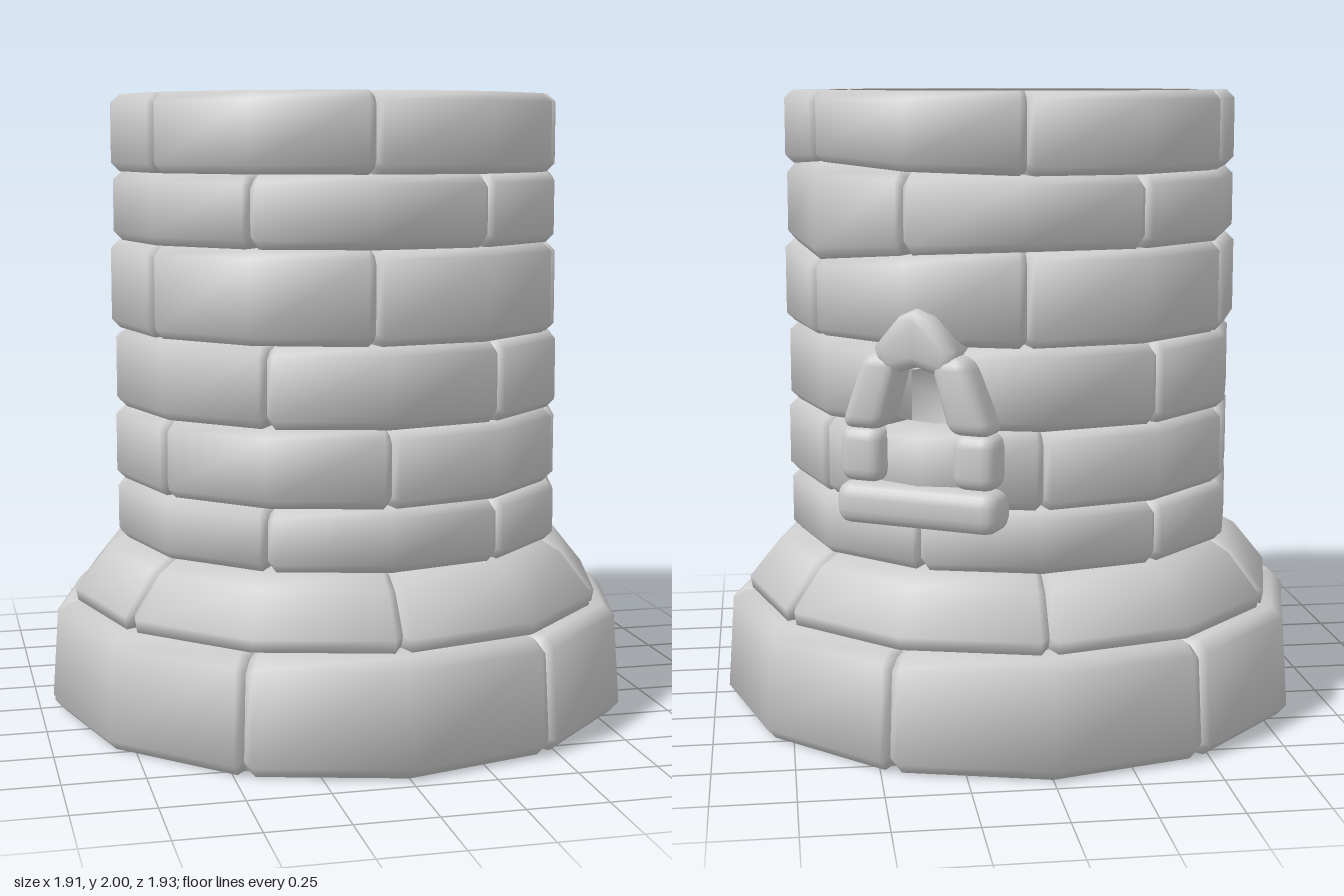
import * as THREE from 'three';
import { mergeVertices } from 'three/addons/utils/BufferGeometryUtils.js';
import { RoundedBoxGeometry } from 'three/addons/geometries/RoundedBoxGeometry.js';

const RAD = Math.PI / 180;
const lerp = THREE.MathUtils.lerp;
const material = new THREE.MeshStandardMaterial({ color: 0xcccccc });
const shellMaterial = new THREE.MeshStandardMaterial({ color: 0xcccccc, side: THREE.DoubleSide });
const WINDOW_ANGLE = 150; // degrees from the front (+z) towards +x

// Uneven bed joints: a bump that peaks near 116 degrees
const bump = (a) => Math.max(0, 1 - Math.abs(((a + 360) % 360) - 116) / 45);

// Smooth normals in which every face counts the same, for a pillowy look
function softNormals(g) {
  const p = g.attributes.position, ix = g.index.array;
  const sums = Array.from({ length: p.count }, () => new THREE.Vector3());
  const tri = new THREE.Triangle(), normal = new THREE.Vector3();
  for (let i = 0; i < ix.length; i += 3) {
    tri.setFromAttributeAndIndices(p, ix[i], ix[i + 1], ix[i + 2]);
    tri.getNormal(normal);
    for (let k = 0; k < 3; k++) sums[ix[i + k]].add(normal);
  }
  const flat = sums.flatMap((v) => v.normalize().toArray());
  g.setAttribute('normal', new THREE.Float32BufferAttribute(flat, 3));
  return g;
}

// One bent stone, a shell open towards the inside of the tower: two straight
// halves with chamfered edges. trim0 and trim1 shorten its ends, as a share of a half.
function stoneGeometry(c, start, trim0 = 0, trim1 = 0) {
  const bevel = c.bevel ?? 0.027, inset = 0.018, round = 0.06;
  const stations = [
    [trim0, inset], [trim0 + round, 0], [1, 0], [2 - trim1 - round, 0], [2 - trim1, inset],
  ];
  // A point of the section at one polygon corner
  const corner = (k, u, v) => {
    const a = start + k * 30;
    const lo = c.lo + (c.loBump ?? 0) * bump(a);
    const hi = c.hi + (c.hiBump ?? 0) * bump(a);
    const r = lerp(c.r0, c.r1, v) - c.thick * (1 - u);
    return new THREE.Vector3(r * Math.sin(a * RAD), lerp(lo, hi, v), r * Math.cos(a * RAD));
  };
  const height = c.hi - c.lo;
  const du = bevel / c.thick, dv = bevel / height;
  const section = [[0, 0], [1 - du, 0], [1, dv], [1, 1 - dv], [1 - du, 1], [0, 1]];
  const n = section.length, positions = [], index = [];
  stations.forEach(([s, e], i) => {
    const k = s > 1 ? 1 : 0;
    section.forEach(([u, v], j) => {
      // The ends shrink on the outside only, so the joints stay closed behind
      const uu = u - (u ? e / c.thick : 0);
      const vv = u ? 0.5 + (v - 0.5) * (1 - 2 * e / height) : v;
      const p = corner(k, uu, vv).lerp(corner(k + 1, uu, vv), s - k);
      positions.push(p.x, p.y, p.z);
      if (i < stations.length - 1 && j < n - 1) {
        const a = i * n + j;
        index.push(a, a + n, a + n + 1, a, a + n + 1, a + 1);
      }
    });
  });
  // End faces
  const last = (stations.length - 1) * n;
  for (let j = 1; j < n - 1; j++) {
    index.push(0, j, j + 1, last, last + j + 1, last + j);
  }
  const g = new THREE.BufferGeometry();
  g.setAttribute('position', new THREE.Float32BufferAttribute(positions, 3));
  g.setIndex(index);
  return softNormals(g);
}

// Six stones make one course
function addCourse(parent, c) {
  const ring = new THREE.Group();
  ring.name = c.name;
  for (let i = 0; i < 6; i++) {
    const start = c.offset + i * 60;
    const trim0 = c.opening && start % 360 === WINDOW_ANGLE ? c.opening : 0;
    const trim1 = c.opening && (start + 60) % 360 === WINDOW_ANGLE ? c.opening : 0;
    const stone = new THREE.Mesh(stoneGeometry(c, start, trim0, trim1), shellMaterial);
    stone.name = 'stone' + (i + 1);
    ring.add(stone);
  }
  parent.add(ring);
}

// Joins the corners of a geometry and smooths it
function smooth(g) {
  g.deleteAttribute('uv');
  g.deleteAttribute('normal');
  return softNormals(mergeVertices(g, 1e-4));
}

// Rounded block whose top can be shifted sideways and narrowed
function block(w, h, d, radius, shift = 0, narrow = 1) {
  const g = new RoundedBoxGeometry(w, h, d, 2, radius);
  const p = g.attributes.position;
  for (let i = 0; i < p.count; i++) {
    const t = p.getY(i) / h + 0.5;
    p.setX(i, p.getX(i) * lerp(1, narrow, t) + shift * t);
  }
  return smooth(g);
}

function windowFrame() {
  const frame = new THREE.Group();
  frame.name = 'windowFrame';
  const add = (name, g, x, y) => {
    const m = new THREE.Mesh(g, material);
    m.name = name;
    m.position.set(x, y, 0);
    frame.add(m);
  };
  add('sill', block(0.53, 0.13, 0.15, 0.045), 0, 0.765);
  for (const side of [-1, 1]) {
    add('lowerJamb', block(0.14, 0.17, 0.125, 0.04), side * 0.185, 0.915);
    add('upperJamb', block(0.145, 0.235, 0.14, 0.04, -side * 0.075, 0.85), side * 0.18, 1.112);
  }
  // Pointed cap stone
  const outline = [[-0.1, 1.24], [-0.085, 1.2], [0, 1.225], [0.085, 1.2], [0.1, 1.24],
    [0.035, 1.315], [0, 1.33], [-0.035, 1.315]];
  const shape = new THREE.Shape(outline.map(([x, y]) => new THREE.Vector2(x, y)));
  const cap = new THREE.ExtrudeGeometry(shape, {
    depth: 0.07, bevelSize: 0.033, bevelThickness: 0.035, bevelSegments: 2,
  });
  cap.translate(0, 0, -0.035);
  add('capStone', smooth(cap), 0, 0);

  const a = WINDOW_ANGLE * RAD, r = 0.7;
  frame.position.set(r * Math.sin(a), 0, r * Math.cos(a));
  frame.rotation.y = a;
  return frame;
}

export function createModel() {
  const tower = new THREE.Group();
  tower.name = 'stoneTower';
  const wall = { r0: 0.735, r1: 0.735, thick: 0.125 };
  const courses = [
    { name: 'baseCourse', lo: 0, hi: 0.36, r0: 0.965, r1: 0.94, thick: 0.13, offset: 30, bevel: 0.035 },
    { name: 'slopedCourse', lo: 0.36, hi: 0.57, r0: 0.91, r1: 0.74, thick: 0.13, offset: 0, bevel: 0.04 },
    { ...wall, name: 'wallCourse1', lo: 0.565, hi: 0.76, offset: 30 },
    { ...wall, name: 'wallCourse2', lo: 0.76, hi: 1.0, offset: 0 },
    { ...wall, name: 'windowCourse', lo: 1.0, hi: 1.25, offset: 30, opening: 0.29 },
    { ...wall, name: 'wallCourse3', lo: 1.25, hi: 1.535, offset: -4, r0: 0.74, r1: 0.74, hiBump: -0.05 },
    { ...wall, name: 'wallCourse4', lo: 1.535, hi: 1.755, offset: -34, loBump: -0.05, hiBump: 0.03 },
    { ...wall, name: 'topCourse', lo: 1.755, hi: 2.0, offset: -4, loBump: 0.03 },
  ];
  courses.forEach((c) => addCourse(tower, c));
  tower.add(windowFrame());
  return tower;
}
